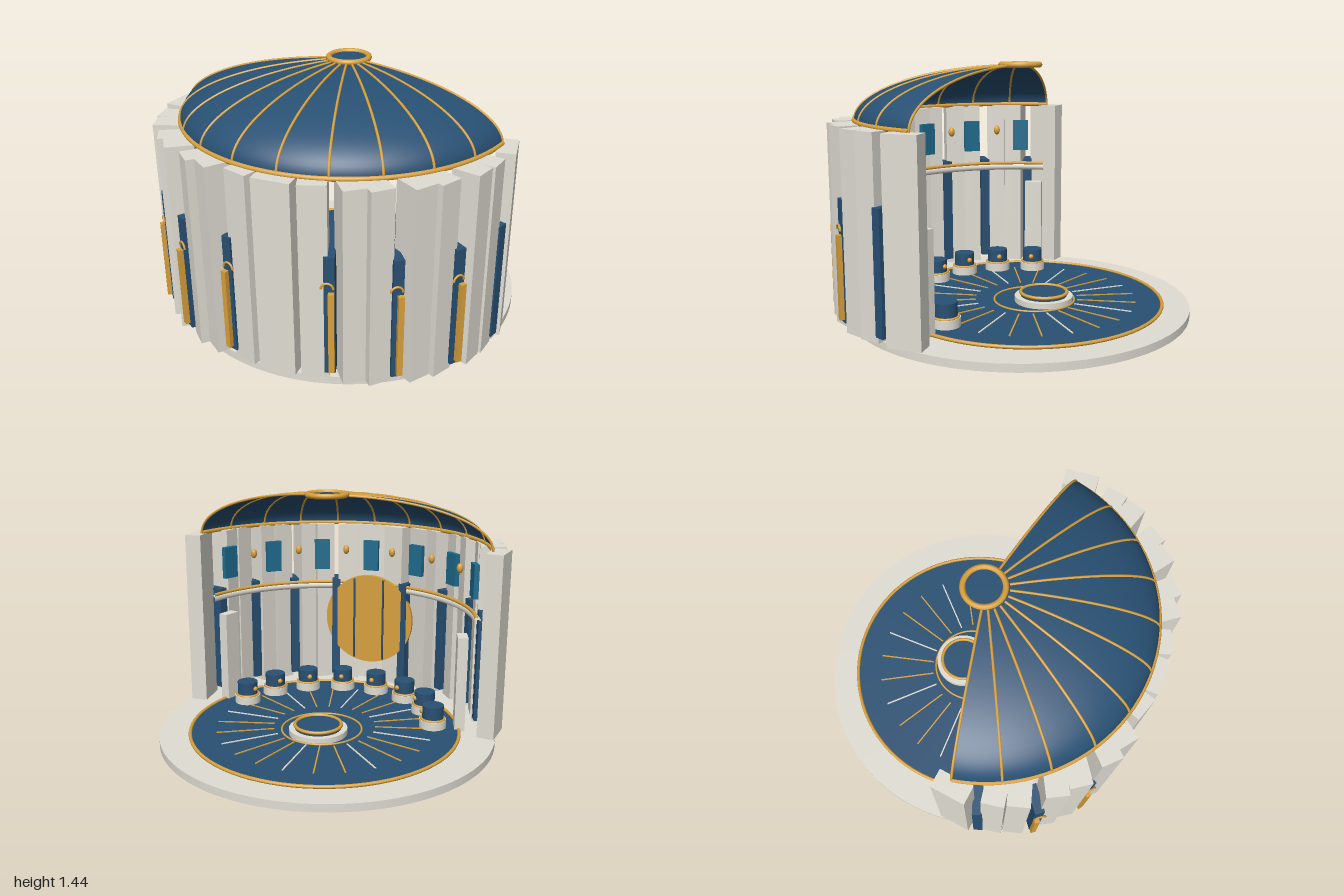
import * as THREE from 'three';

const mat = (name, color, side = THREE.FrontSide) => {
  const m = new THREE.MeshStandardMaterial({ color, side });
  m.name = name;
  return m;
};

export function createModel() {
  const stone = mat('pale stone', 0xe0ddd3);
  const blue = mat('deep blue', 0x285073);
  const shell = mat('dome blue', 0x285073, THREE.DoubleSide);
  const gold = mat('gold', 0xd8a03c);
  const teal = mat('teal glass', 0x1f6c8e);

  const model = new THREE.Group();
  const rad = THREE.MathUtils.degToRad;
  const add = (name, geo, material, x = 0, y = 0, z = 0, parent = model) => {
    const m = new THREE.Mesh(geo, material);
    m.name = name;
    m.position.set(x, y, z);
    parent.add(m);
    return m;
  };
  const disc = (name, r, y0, y1, z, material) =>
    add(name, new THREE.CylinderGeometry(r, r, y1 - y0, 96), material, 0, (y0 + y1) / 2, z);
  const ring = (name, r, tube, y, z, material, parent = model) => {
    const m = add(name, new THREE.TorusGeometry(r, tube, 10, 80), material, 0, y, z, parent);
    m.rotation.x = Math.PI / 2;
    return m;
  };
  // Group turned to an angle from the front, so its +z points outward
  const spoke = (name, deg) => {
    const g = new THREE.Group();
    g.name = name;
    g.rotation.y = rad(deg);
    model.add(g);
    return g;
  };
  const box = (name, w, h, d, material, y, z, parent, x = 0) =>
    add(name, new THREE.BoxGeometry(w, h, d), material, x, y, z, parent);
  const tube = (name, pts, r, material) =>
    add(name, new THREE.TubeGeometry(new THREE.CatmullRomCurve3(pts), 48, r, 8), material);
  const polar = (r, deg, y) =>
    new THREE.Vector3(r * Math.sin(rad(deg)), y, r * Math.cos(rad(deg)));
  const arc = (r, y, end) =>
    Array.from({ length: 33 }, (_, i) => polar(r, -end + (2 * end * i) / 32, y));

  // Floor
  disc('base', 0.988, 0, 0.045, -0.007, stone);
  disc('floor', 0.79, 0.045, 0.055, -0.05, blue);
  ring('floorRim', 0.79, 0.01, 0.056, -0.05, gold);
  for (let i = 0; i < 24; i++) {
    const a = (i * Math.PI) / 12;
    const ray = add('floorRay', new THREE.BoxGeometry(0.008, 0.006, 0.34),
      i % 3 ? gold : stone, 0.47 * Math.sin(a), 0.057, -0.05 + 0.47 * Math.cos(a));
    ray.rotation.y = a;
  }

  // Central dais
  ring('daisOuterRing', 0.235, 0.006, 0.057, -0.1, gold);
  disc('daisStep', 0.17, 0.05, 0.088, -0.16, stone);
  disc('daisTop', 0.135, 0.088, 0.108, -0.16, blue);
  ring('daisRim', 0.135, 0.01, 0.108, -0.16, gold);

  // Wall fins, mirrored: angle, radius, width, depth, twist
  const fins = [[0, 0.945, 0.2, 0.1, 0], [11, 0.92, 0.14, 0.14, 8],
    [22, 0.95, 0.12, 0.15, 15], [29, 0.965, 0.12, 0.15, 15],
    [40, 0.98, 0.12, 0.15, 15], [47, 0.98, 0.12, 0.15, 15],
    [58, 0.98, 0.12, 0.15, 15], [65, 0.96, 0.12, 0.15, 15],
    [78, 0.955, 0.19, 0.1, 18]];
  for (const [deg, r, w, d, twist] of fins) {
    for (const s of deg ? [-1, 1] : [1]) {
      box('wallFin', w, 1.075, d, stone, 0.5825, r, spoke('finGroup', s * deg))
        .rotation.y = rad(s * twist);
    }
  }

  // Blue piers in the wall gaps, with gold lantern bars on the outer three
  for (const [deg, r, lit] of [[16, 0.915, 1], [34.5, 0.965, 1], [52, 0.98, 1], [70.5, 0.95, 0]]) {
    for (const s of [-1, 1]) {
      const g = spoke('bay', s * deg);
      box('pier', 0.055, 0.67, 0.16, blue, 0.415, r, g);
      if (!lit) continue;
      box('lanternBar', 0.03, 0.46, 0.03, gold, 0.33, r + 0.09, g, s * 0.01);
      add('lanternHook', new THREE.TorusGeometry(0.03, 0.006, 8, 16, Math.PI),
        gold, s * -0.01, 0.58, r + 0.085, g);
    }
  }

  // Teal panes high on the inner wall, with gold lamps between them
  for (let i = -3; i <= 3; i++) {
    box('tealPane', 0.1, 0.2, 0.03, teal, 0.92, 0.85, spoke('paneGroup', i * 22.5));
    if (i === 3) continue;
    add('lampDrop', new THREE.SphereGeometry(0.02, 12, 10), gold, 0, 0.96, 0.81,
      spoke('lampGroup', i * 22.5 + 11.25)).scale.y = 1.5;
  }

  // Inner rail
  tube('innerRail', arc(0.86, 0.705, 78), 0.022, stone);
  tube('innerRailTrim', arc(0.85, 0.73, 78), 0.011, gold);

  // Round gold screen at the front, with dark joints
  add('screen', new THREE.CylinderGeometry(0.3, 0.3, 0.03, 64), gold, 0, 0.49, 0.82)
    .rotation.x = Math.PI / 2;
  for (const x of [-0.1, 0.1]) box('screenJoint', 0.012, 0.55, 0.008, blue, 0.49, 0.802, model, x);

  // Stone end panels
  for (const s of [-1, 1]) {
    box('endPanel', 0.11, 0.57, 0.06, stone, 0.33, 0.78, spoke('endPanelGroup', s * 74));
  }

  // Seats in an arc
  for (let i = 0; i < 8; i++) {
    const g = spoke('seat', -75 + (150 * i) / 7);
    add('seatBase', new THREE.CylinderGeometry(0.08, 0.08, 0.05, 32), stone, 0, 0.08, 0.625, g);
    ring('seatTrim', 0.068, 0.008, 0.107, 0.625, gold, g);
    add('seatDrum', new THREE.CylinderGeometry(0.063, 0.063, 0.085, 32), blue, 0, 0.1475, 0.625, g);
    add('seatKnob', new THREE.SphereGeometry(0.016, 12, 8), gold, 0, 0.15, 0.563, g);
  }

  // Partial dome, open at the back, with ribs and rims
  const R = 0.922, rise = 0.295, y0 = 1.12, end = 78.5;
  const profile = Array.from({ length: 25 }, (_, i) => {
    const t = (i / 24) * (Math.PI / 2);
    return new THREE.Vector2(Math.max(R * Math.cos(t), 0.001), y0 + rise * Math.sin(t));
  });
  add('dome', new THREE.LatheGeometry(profile, 80, rad(-end), rad(2 * end)), shell);
  for (let i = 0; i <= 10; i++) {
    const deg = -end + (2 * end * i) / 10;
    tube('domeRib', profile.slice(0, 23).map((p) => polar(p.x, deg, p.y)), 0.007, gold);
  }
  tube('domeRim', arc(R, y0 + 0.005, end), 0.013, gold);

  // Crown at the top of the dome
  ring('crownRing', 0.109, 0.016, 1.42, -0.01, gold);
  disc('crownDisc', 0.105, 1.416, 1.422, -0.01, blue);

  return model;
}
